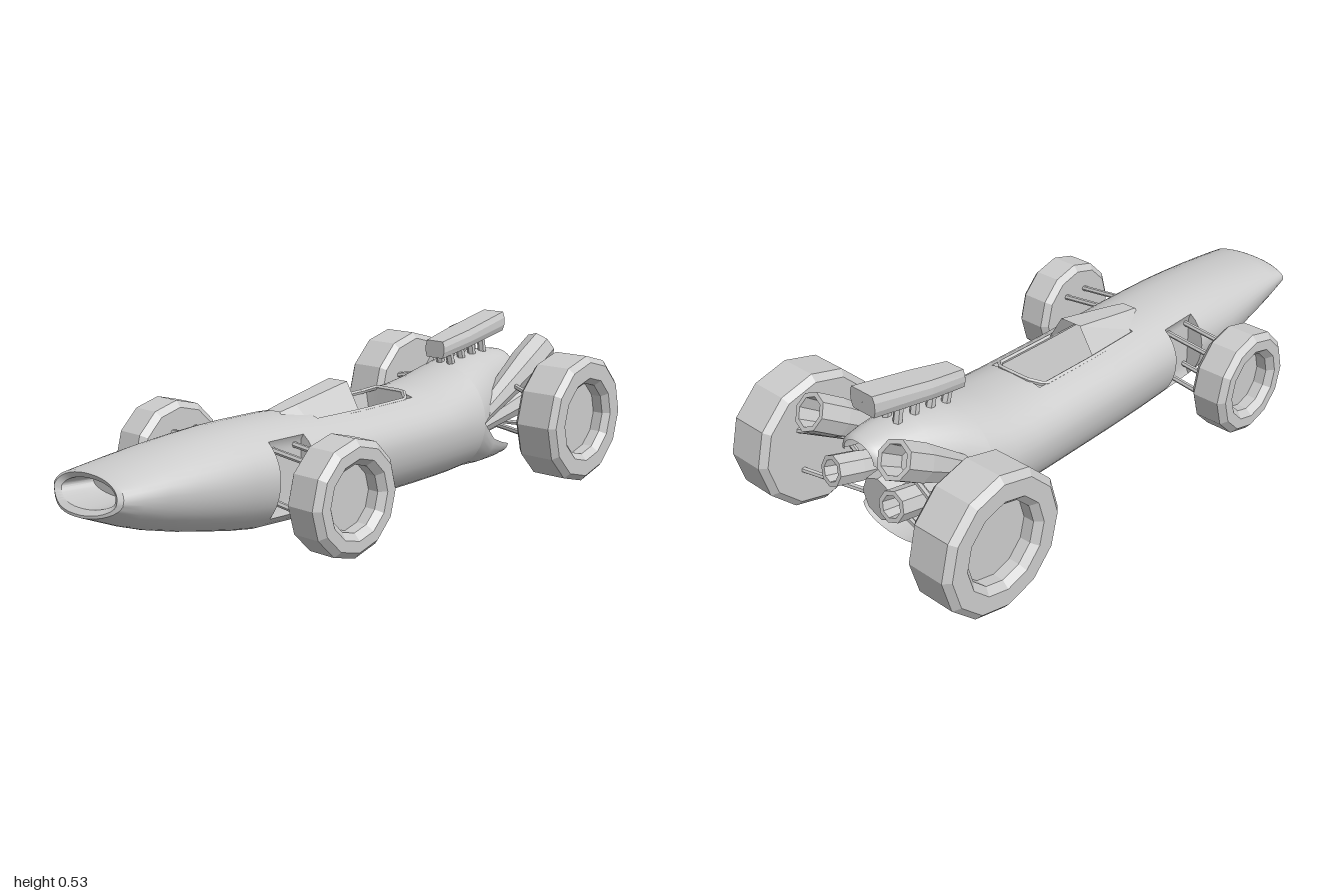
import * as THREE from 'three';
import { toCreasedNormals } from 'three/addons/utils/BufferGeometryUtils.js';

const smooth = new THREE.MeshStandardMaterial({ color: 0xcccccc, side: THREE.DoubleSide });
const faceted = new THREE.MeshStandardMaterial({ color: 0xcccccc, side: THREE.DoubleSide, flatShading: true });
const V = (x, y, z) => new THREE.Vector3(x, y, z);

// Skin through rings of points (front to back, each counter-clockwise seen from the front)
function loft(rings, closed = true) {
  const n = rings[0].length, index = [];
  for (let i = 0; i < rings.length - 1; i++) {
    for (let j = 0; j < (closed ? n : n - 1); j++) {
      const k = (j + 1) % n, a = i * n + j, b = i * n + k;
      index.push(a, a + n, b, b, a + n, b + n);
    }
  }
  const geo = new THREE.BufferGeometry().setFromPoints(rings.flat());
  geo.setIndex(index);
  geo.computeVertexNormals();
  return geo;
}

// Rounded section: half width, top, bottom and height of the widest line
function section([z, w, top, bottom, mid], from = 0, to = Math.PI * 2, n = 40, closed = true) {
  const pts = [];
  for (let i = 0; i < (closed ? n : n + 1); i++) {
    const t = from + (to - from) * i / n, s = Math.sin(t), c = Math.cos(t);
    const x = w * Math.sign(c) * Math.abs(c) ** 0.9;
    pts.push(V(x, mid + (s > 0 ? top - mid : mid - bottom) * s, z));
  }
  return pts;
}

function add(parent, name, geo, mat = faceted) {
  const mesh = new THREE.Mesh(geo, mat);
  mesh.name = name;
  parent.add(mesh);
  return mesh;
}

// Place a part built along +y so that it runs from a towards b
function aim(mesh, a, b) {
  mesh.position.copy(a);
  mesh.quaternion.setFromUnitVectors(V(0, 1, 0), b.clone().sub(a).normalize());
}

function rod(parent, name, a, b, r = 0.009) {
  const len = a.distanceTo(b);
  aim(add(parent, name, new THREE.CylinderGeometry(r, r, len, 6).translate(0, len / 2, 0)), a, b);
}

// Flared pipe with a hollow end
function pipe(parent, name, a, b, r1, r2) {
  const L = a.distanceTo(b);
  const profile = [[0, 0], [r1, 0], [r2, L * 0.75], [r2, L], [r2 - 0.014, L], [r2 - 0.018, L - 0.08], [0, L - 0.08]];
  aim(add(parent, name, new THREE.LatheGeometry(profile.map(p => new THREE.Vector2(...p)), 8)), a, b);
}

// Twelve-sided tyre with a dished rim on its outer face
function wheel(parent, name, side, x, y, z, R, half, rim) {
  const profile = [[0, -half], [R - 0.02, -half], [R, -half + 0.018], [R, half - 0.018], [R - 0.02, half],
    [rim, half], [rim - 0.02, half - 0.02], [rim - 0.02, half - 0.055], [0, half - 0.055]];
  const mesh = add(parent, name, new THREE.LatheGeometry(profile.map(p => new THREE.Vector2(...p)), 12));
  mesh.rotation.z = -side * Math.PI / 2;
  mesh.position.set(side * x, y, z);
}

function buildBody(car) {
  // Slanted mouth: the lower lip reaches forward
  const lip = (...s) => section(s).map(p => {
    const k = (p.y - s[4]) / (s[2] - s[4]);
    p.z += k < 0 ? 0.045 * k * k : -0.02 * k;
    return p;
  });
  // Side pockets for the front suspension
  const pocket = s => section(s).map(p => {
    if (p.y > 0.075 && p.y < 0.29) p.x = Math.sign(p.x) * Math.min(Math.abs(p.x), 0.13);
    return p;
  });
  // Cockpit opening
  const cockpit = s => section(s).map(p => {
    if (p.y > 0.25 && Math.abs(p.x) < 0.09) p.y = 0.16;
    return p;
  });
  const rings = [
    section([0.85, 0.001, 0.236, 0.234, 0.235]), section([0.85, 0.1, 0.262, 0.208, 0.235]),
    lip(0.945, 0.116, 0.272, 0.205, 0.235), lip(0.955, 0.135, 0.288, 0.192, 0.237),
    lip(0.945, 0.15, 0.292, 0.184, 0.238),
    section([0.88, 0.157, 0.3, 0.137, 0.235]), section([0.8, 0.165, 0.312, 0.108, 0.23]),
    section([0.7, 0.174, 0.325, 0.08, 0.22]), section([0.6, 0.181, 0.335, 0.057, 0.21]),
    section([0.5, 0.185, 0.342, 0.035, 0.205]), section([0.412, 0.187, 0.345, 0.02, 0.2]),
    pocket([0.41, 0.187, 0.345, 0.02, 0.2]), pocket([0.272, 0.191, 0.344, 0.014, 0.2]),
    section([0.27, 0.191, 0.344, 0.014, 0.2]), section([0.162, 0.195, 0.338, 0.011, 0.2]),
    cockpit([0.16, 0.195, 0.338, 0.011, 0.2]), cockpit([0, 0.199, 0.332, 0.01, 0.2]),
    cockpit([-0.278, 0.2, 0.335, 0.01, 0.2]), section([-0.28, 0.2, 0.335, 0.01, 0.2]),
    section([-0.38, 0.2, 0.34, 0.011, 0.2]), section([-0.47, 0.198, 0.355, 0.013, 0.2]),
    section([-0.56, 0.191, 0.38, 0.018, 0.2]), section([-0.56, 0.001, 0.201, 0.199, 0.2])
  ];
  add(car, 'body', toCreasedNormals(loft(rings), 0.6), smooth);

  // Engine cover: an arch tapering to the tail
  const cowl = [[-0.56, 0.191, 0.38, 0, 0.2], [-0.63, 0.17, 0.398, 0, 0.23], [-0.72, 0.137, 0.408, 0, 0.26],
    [-0.82, 0.105, 0.406, 0, 0.3], [-0.87, 0.087, 0.398, 0, 0.325], [-0.885, 0.06, 0.39, 0, 0.34]];
  add(car, 'engineCover', loft(cowl.map(s => section(s, 0, Math.PI, 20, false)), false), smooth);

  // Belly pan under the engine
  const pan = [[-0.56, 0.191, 0.3, 0.018, 0.2], [-0.64, 0.172, 0.3, 0.018, 0.13],
    [-0.72, 0.15, 0.3, 0.02, 0.1], [-0.79, 0.125, 0.3, 0.025, 0.08]];
  add(car, 'bellyPan', loft(pan.map(s => section(s, Math.PI, Math.PI * 2, 20, false)), false), smooth);

  // Engine and gearbox between cover and pan
  const gearbox = add(car, 'gearbox', new THREE.CylinderGeometry(0.1, 0.07, 0.28, 8));
  gearbox.rotation.x = Math.PI / 2;
  gearbox.position.set(0, 0.17, -0.69);
}

function buildCockpit(car) {
  const screen = [[0.255, 0.045, 0.025, 0.33, 0.347], [0.19, 0.088, 0.03, 0.315, 0.36], [-0.03, 0.092, 0.038, 0.312, 0.402]];
  add(car, 'windscreen', loft(screen.map(([z, w, t, b, y]) => [V(w, b, z), V(t, y, z), V(-t, y, z), V(-w, b, z)]), false));
  // Raised edge around the opening
  const path = [V(0.092, 0.316, 0.18), V(0.094, 0.314, -0.03), V(0.094, 0.317, -0.25), V(0.055, 0.333, -0.285)];
  const edge = path.concat(path.slice().reverse().map(p => V(-p.x, p.y, p.z)));
  const curve = new THREE.CurvePath();
  edge.slice(1).forEach((p, i) => curve.add(new THREE.LineCurve3(edge[i], p)));
  add(car, 'cockpitEdge', new THREE.TubeGeometry(curve, 56, 0.008, 5));
}

function buildIntake(car) {
  const ring = (z, w, b, t) => [[w, b + 0.02], [w, t - 0.02], [w * 0.85, t], [-w * 0.85, t],
    [-w, t - 0.02], [-w, b + 0.02], [-w * 0.85, b], [w * 0.85, b]].map(([x, y]) => V(x, y, z));
  add(car, 'intakeBox', loft([ring(-0.52, 0.001, 0.437, 0.438), ring(-0.52, 0.04, 0.408, 0.466),
    ring(-0.65, 0.051, 0.432, 0.492), ring(-0.855, 0.049, 0.468, 0.535), ring(-0.855, 0.001, 0.5, 0.501)]));
  for (let i = 0; i < 4; i++) {
    for (const s of [1, -1]) {
      const z = -0.57 - i * 0.06;
      rod(car, 'intakeTrumpet', V(s * 0.022, 0.36, z - 0.02), V(s * 0.022, 0.425 + i * 0.011, z), 0.014);
    }
  }
}

export function createModel() {
  const car = new THREE.Group();
  car.name = 'racingCar';
  buildBody(car);
  buildCockpit(car);
  buildIntake(car);

  for (const s of [1, -1]) {
    const label = s > 0 ? 'left' : 'right';
    wheel(car, label + 'FrontWheel', s, 0.372, 0.177, 0.355, 0.172, 0.063, 0.118);
    wheel(car, label + 'RearWheel', s, 0.373, 0.216, -0.785, 0.215, 0.078, 0.142);

    // Front wishbones
    for (const z of [0.3, 0.39]) {
      rod(car, label + 'FrontUpperArm', V(s * 0.12, 0.275, z), V(s * 0.32, 0.254, z - 0.003));
      rod(car, label + 'FrontLowerArm', V(s * 0.12, 0.122, z), V(s * 0.32, 0.098, z - 0.003));
    }
    // Rear arms spread out towards the wheel
    for (const [z0, z1] of [[-0.76, -0.68], [-0.81, -0.865]]) {
      rod(car, label + 'RearUpperArm', V(s * 0.09, 0.325, z0), V(s * 0.31, 0.284, z1));
      rod(car, label + 'RearLowerArm', V(s * 0.08, 0.15, z0), V(s * 0.31, 0.15, z1));
    }
    // Exhausts
    pipe(car, label + 'UpperExhaust', V(s * 0.145, 0.2, -0.57), V(s * 0.172, 0.422, -0.905), 0.028, 0.058);
    pipe(car, label + 'LowerExhaust', V(s * 0.1, 0.15, -0.57), V(s * 0.125, 0.24, -0.89), 0.028, 0.047);
  }
  return car;
}
